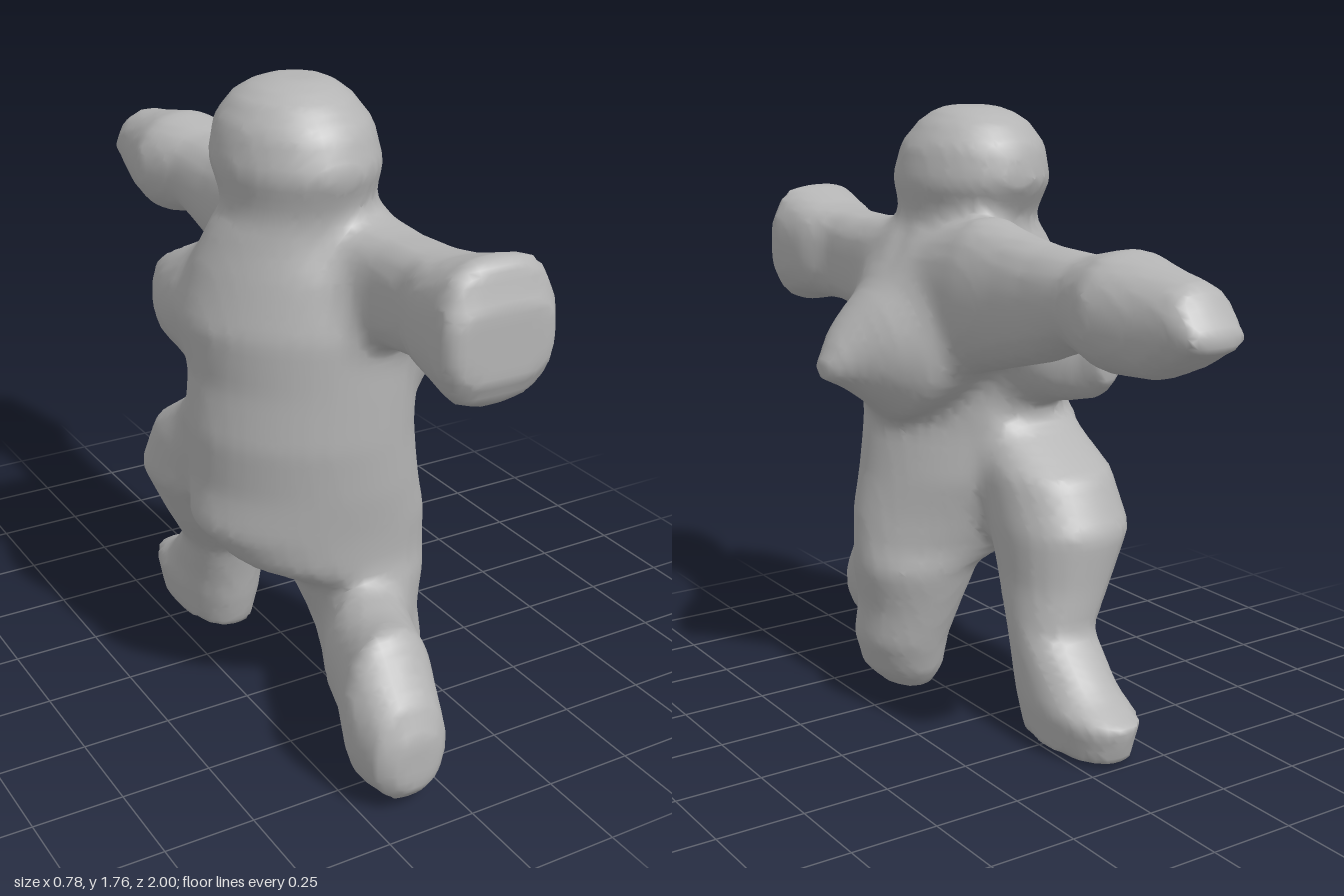
import * as THREE from 'three';

// Each part is a row of rounded sections along one axis:
// [x, y, z, radiusA, radiusB, shear], radii in x-y-z order of the other two axes;
// shear slides the second of them along with the first. Higher power = boxier.
const PARTS = {
  head: { axis: 1, power: 2, sections: [
    [-0.09, 1.36, 0.25, 0.18, 0.17],
    [-0.09, 1.45, 0.25, 0.19, 0.195],
    [-0.09, 1.56, 0.235, 0.215, 0.25],
    [-0.09, 1.66, 0.225, 0.195, 0.225],
    [-0.09, 1.735, 0.22, 0.14, 0.155],
    [-0.08, 1.765, 0.22, 0.07, 0.07],
  ] },
  // Twisted torso runs on into the bent front thigh and knee
  torsoAndFrontThigh: { axis: 1, power: 2, sections: [
    [0.06, 0.005, 0.375, 0.06, 0.09],
    [0.07, 0.06, 0.385, 0.115, 0.14],
    [0.085, 0.17, 0.365, 0.14, 0.155],
    [0.065, 0.28, 0.345, 0.155, 0.165],
    [0.05, 0.41, 0.33, 0.195, 0.185],
    [-0.03, 0.48, 0.315, 0.27, 0.195, 0.1],
    [-0.08, 0.58, 0.29, 0.31, 0.22, 0.2],
    [-0.085, 0.7, 0.28, 0.29, 0.245, 0.22],
    [-0.1, 0.85, 0.28, 0.285, 0.255, 0.22],
    [-0.09, 1.0, 0.275, 0.28, 0.26, 0.22],
    [-0.1, 1.15, 0.27, 0.29, 0.26, 0.25],
    [-0.08, 1.3, 0.26, 0.27, 0.24, 0.2],
    [-0.09, 1.4, 0.25, 0.22, 0.2, 0.1],
    [-0.09, 1.46, 0.25, 0.17, 0.17],
  ] },
  frontShinAndFoot: { axis: 2, power: 2.3, sections: [
    [0.05, 0.2, 0.36, 0.11, 0.15],
    [-0.02, 0.245, 0.52, 0.135, 0.175],
    [-0.07, 0.255, 0.65, 0.13, 0.175],
    [-0.12, 0.235, 0.78, 0.135, 0.225],
    [-0.125, 0.165, 0.9, 0.105, 0.13],
    [-0.12, 0.15, 0.93, 0.06, 0.07],
  ] },
  backLeg: { axis: 1, power: 2.2, sections: [
    [-0.1, 0.01, -0.29, 0.105, 0.2],
    [-0.1, 0.12, -0.29, 0.125, 0.23],
    [-0.1, 0.18, -0.23, 0.12, 0.18],
    [-0.11, 0.31, -0.145, 0.12, 0.125],
    [-0.155, 0.44, -0.1, 0.15, 0.17],
    [-0.19, 0.59, -0.07, 0.19, 0.21],
    [-0.19, 0.74, 0.0, 0.18, 0.2],
    [-0.19, 0.86, 0.1, 0.15, 0.11],
  ] },
  frontArm: { axis: 2, power: 2.8, sections: [
    [0, 1.25, 0.3, 0.15, 0.2],
    [0.03, 1.28, 0.56, 0.11, 0.145],
    [0.035, 1.29, 0.7, 0.105, 0.14],
    [0.035, 1.295, 0.79, 0.14, 0.145],
    [0.03, 1.305, 0.96, 0.16, 0.19],
    [0.03, 1.285, 1.0, 0.14, 0.09],
  ] },
  backArm: { axis: 2, power: 2.2, sections: [
    [0.03, 1.29, -1.0, 0.08, 0.015],
    [0.03, 1.32, -0.92, 0.1, 0.1],
    [0.03, 1.305, -0.8, 0.125, 0.135],
    [0.03, 1.315, -0.65, 0.16, 0.155],
    [0.03, 1.315, -0.5, 0.12, 0.12],
    [0.03, 1.285, -0.33, 0.115, 0.155],
    [0.03, 1.275, -0.2, 0.12, 0.18],
    [0.03, 1.27, -0.05, 0.14, 0.215],
    [0, 1.24, 0.2, 0.18, 0.2],
  ] },
  // Pointed shoulders on the left and behind the right
  leftShoulder: { axis: 0, power: 2, sections: [
    [-0.05, 1.18, 0.24, 0.25, 0.25],
    [0.1, 1.15, 0.24, 0.25, 0.27],
    [0.19, 1.09, 0.24, 0.21, 0.235],
    [0.26, 1.09, 0.255, 0.15, 0.17],
    [0.32, 1.08, 0.275, 0.095, 0.105],
    [0.365, 1.06, 0.27, 0.055, 0.06],
    [0.39, 1.04, 0.275, 0.02, 0.04],
  ] },
  rightShoulder: { axis: 2, power: 2, sections: [
    [-0.24, 1.1, -0.24, 0.04, 0.08],
    [-0.24, 1.09, -0.18, 0.07, 0.12],
    [-0.22, 1.1, -0.1, 0.12, 0.15],
    [-0.19, 1.12, 0.02, 0.17, 0.19],
    [-0.16, 1.14, 0.2, 0.18, 0.2],
  ] },
};

// Approximate signed distance from p to one part
function partDistance({ axis, power, sections }, p) {
  const first = axis === 0 ? 1 : 0, second = axis === 2 ? 1 : 2;
  const start = sections[0][axis], end = sections[sections.length - 1][axis];
  const t = THREE.MathUtils.clamp(p[axis], start, end);
  let i = 0;
  while (i < sections.length - 2 && t > sections[i + 1][axis]) i++;
  const lo = sections[i], hi = sections[i + 1];
  const w = (t - lo[axis]) / (hi[axis] - lo[axis]);
  const mix = (k) => THREE.MathUtils.lerp(lo[k] ?? 0, hi[k] ?? 0, w);
  const a = p[first] - mix(first), ra = mix(3), rb = mix(4);
  const b = p[second] - mix(second) - mix(5) * a;
  const r = (Math.abs(a / ra) ** power + Math.abs(b / rb) ** power) ** (1 / power);
  return Math.max((r - 1) * Math.min(ra, rb), start - p[axis], p[axis] - end);
}

// All parts melted together with a soft fillet
function bodyDistance(p) {
  const fillet = 0.05;
  let d = Infinity;
  for (const part of Object.values(PARTS)) {
    const e = partDistance(part, p);
    const h = Math.max(fillet - Math.abs(d - e), 0);
    d = Math.min(d, e) - (h * h) / (4 * fillet);
  }
  return d;
}

// Skins a distance field with one vertex per crossed grid cell
function skin(distance, min, max, cell) {
  const size = min.map((m, k) => Math.ceil((max[k] - m) / cell) + 1);
  const step = [1, size[0], size[0] * size[1]];
  const total = step[2] * size[2];
  const gridOf = (id) => [id % size[0], Math.floor(id / step[1]) % size[1], Math.floor(id / step[2])];
  const field = new Float32Array(total);
  for (let id = 0; id < total; id++) field[id] = distance(gridOf(id).map((g, k) => min[k] + g * cell));

  const pos = [], index = [], vertexOf = new Map();
  const vertex = (id) => {
    if (vertexOf.has(id)) return vertexOf.get(id);
    const sum = [0, 0, 0], base = gridOf(id);
    let count = 0;
    for (let corner = 0; corner < 8; corner++) {
      const bits = [corner & 1, (corner >> 1) & 1, corner >> 2];
      const from = id + bits[0] * step[0] + bits[1] * step[1] + bits[2] * step[2];
      for (let k = 0; k < 3; k++) {
        const f = field[from], g = field[from + step[k]];
        if (bits[k] || f < 0 === g < 0) continue;
        for (let m = 0; m < 3; m++) sum[m] += bits[m] + (m === k ? f / (f - g) : 0);
        count++;
      }
    }
    pos.push(...sum.map((s, m) => min[m] + (base[m] + s / count) * cell));
    vertexOf.set(id, pos.length / 3 - 1);
    return pos.length / 3 - 1;
  };

  for (let id = 0; id < total; id++) {
    const g = gridOf(id);
    for (let k = 0; k < 3; k++) {
      if (g[k] === size[k] - 1 || field[id] < 0 === field[id + step[k]] < 0) continue;
      const u = step[(k + 1) % 3], v = step[(k + 2) % 3];
      const [a, b, c, d] = [id - u - v, id - v, id, id - u].map(vertex);
      if (field[id] < 0) index.push(a, b, c, a, c, d);
      else index.push(a, c, b, a, d, c);
    }
  }
  const geo = new THREE.BufferGeometry();
  geo.setAttribute('position', new THREE.Float32BufferAttribute(pos, 3));
  geo.setIndex(index);
  geo.computeVertexNormals();
  return geo;
}

export function createModel() {
  const clay = new THREE.MeshStandardMaterial({ color: 0xb4b4b4 });
  clay.name = 'grey clay';
  const body = new THREE.Mesh(skin(bodyDistance, [-0.52, -0.08, -1.08], [0.52, 1.86, 1.08], 0.025), clay);
  body.name = 'body';
  const model = new THREE.Group();
  model.name = 'lungingFigure';
  model.add(body);
  return model;
}
